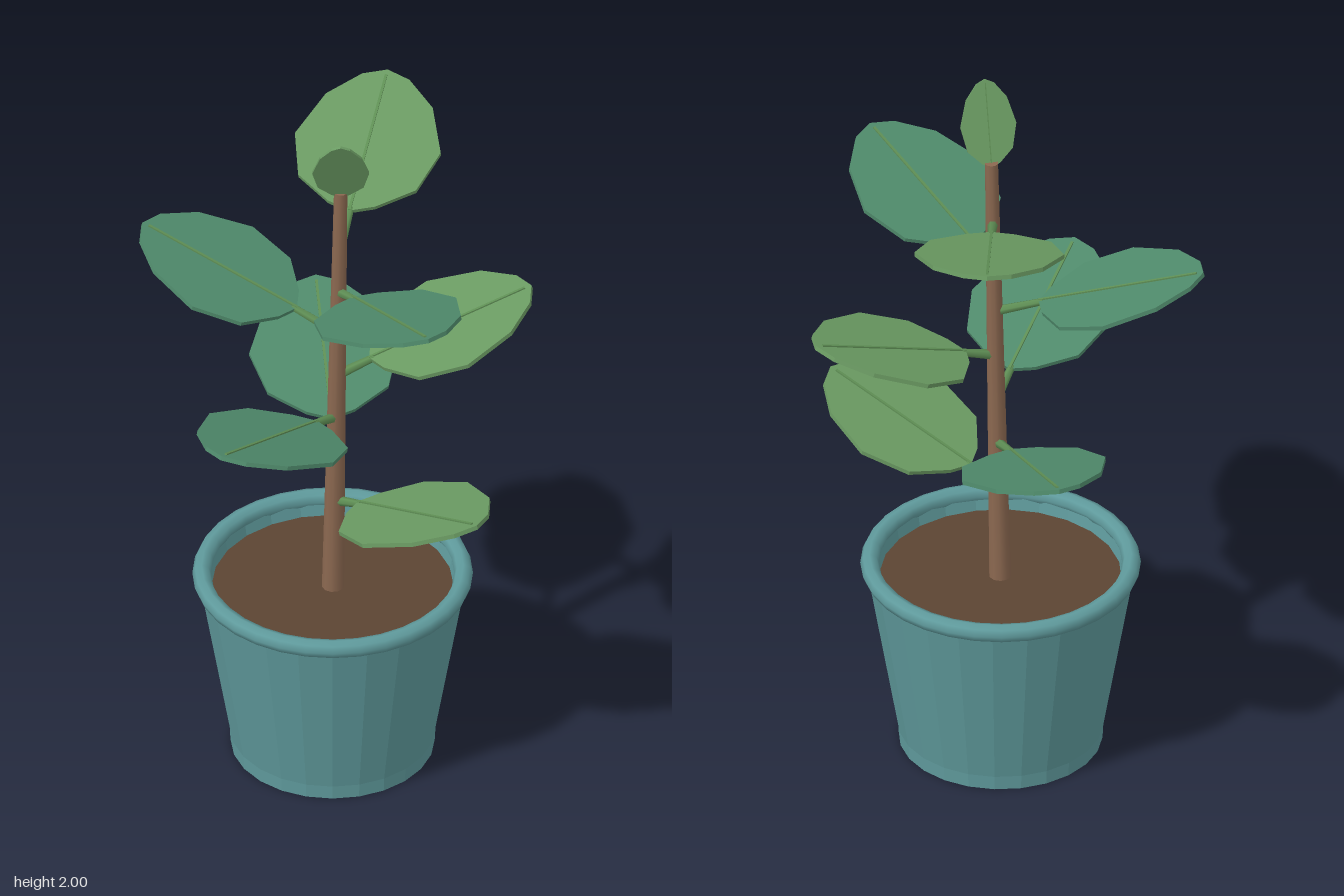
import * as THREE from 'three';

const paint = (name, color) => {
  const m = new THREE.MeshStandardMaterial({ color });
  m.name = name;
  return m;
};

// Faceted shading with one normal per face
const faceted = (geo) => {
  const g = geo.index ? geo.toNonIndexed() : geo;
  g.computeVertexNormals();
  return g;
};

const part = (name, geo, mat) => {
  const mesh = new THREE.Mesh(geo, mat);
  mesh.name = name;
  return mesh;
};

// Tapered rod between two points
function rod(name, a, b, ra, rb, sides, mat) {
  const dir = b.clone().sub(a);
  const mesh = part(name, new THREE.CylinderGeometry(rb, ra, dir.length(), sides), mat);
  mesh.position.copy(a).addScaledVector(dir, 0.5);
  mesh.quaternion.setFromUnitVectors(new THREE.Vector3(0, 1, 0), dir.normalize());
  return mesh;
}

const LEAF_LENGTH = 0.47;
const LEAF_THICK = 0.012;

// Flat twelve-sided blade along +x with its upper side facing +y
function leafBladeGeometry() {
  const half = [[0.05, 0.064], [0.2, 0.16], [0.48, 0.198], [0.78, 0.145], [0.95, 0.064]];
  const outline = [
    [0, 0],
    ...half.map(([t, w]) => [t, -w]),
    [1, 0],
    ...half.slice().reverse(),
  ].map(([t, w]) => new THREE.Vector2(t * LEAF_LENGTH, w));
  const geo = new THREE.ExtrudeGeometry(new THREE.Shape(outline), { depth: LEAF_THICK, bevelEnabled: false });
  geo.translate(0, 0, -LEAF_THICK / 2);
  geo.rotateX(-Math.PI / 2);
  return geo;
}

export function createModel() {
  const potBlue = paint('pot blue', 0x5f9a9c);
  const soilBrown = paint('soil brown', 0x5c4433);
  const barkBrown = paint('bark brown', 0x8b6850);
  const leafLight = paint('light leaf green', 0x6a9a62);
  const leafDeep = paint('deep leaf green', 0x4f8a6b);
  const stalkGreen = paint('stalk green', 0x5f8f55);

  const model = new THREE.Group();
  model.name = 'pottedPlant';

  // Pot: closed base, straight foot, flared wall and inner wall
  const pot = new THREE.Group();
  pot.name = 'pot';
  pot.position.set(-0.02, 0, -0.02);
  model.add(pot);
  const profile = [[0, 0], [0.27, 0], [0.272, 0.04], [0.357, 0.54], [0.33, 0.55], [0.315, 0.46]]
    .map(([r, y]) => new THREE.Vector2(r, y));
  pot.add(part('potWall', faceted(new THREE.LatheGeometry(profile, 24)), potBlue));

  const rim = part('potRim', new THREE.TorusGeometry(0.346, 0.025, 8, 32), potBlue);
  rim.rotation.x = Math.PI / 2;
  rim.position.y = 0.541;
  pot.add(rim);

  const soil = part('soil', new THREE.CylinderGeometry(0.32, 0.31, 0.04, 24), soilBrown);
  soil.position.y = 0.48;
  pot.add(soil);

  // Trunk: slight lean and taper
  const trunkBase = new THREE.Vector3(-0.019, 0.48, -0.02);
  const trunkTop = new THREE.Vector3(0.006, 1.79, -0.024);
  const trunkAt = (y) => trunkBase.clone().lerp(trunkTop, (y - trunkBase.y) / (trunkTop.y - trunkBase.y));
  model.add(rod('trunk', trunkBase, trunkTop, 0.03, 0.018, 10, barkBrown));

  // Leaf: blade with a raised midrib on its upper side
  const bladeGeo = leafBladeGeometry();
  const ribGeo = new THREE.BoxGeometry(LEAF_LENGTH * 0.96, 0.006, 0.007);
  ribGeo.translate(LEAF_LENGTH * 0.48, LEAF_THICK / 2 + 0.001, 0);
  function addLeaf(name, base, azimuth, tilt, mat) {
    const leaf = new THREE.Group();
    leaf.name = name;
    leaf.add(part('leafBlade', bladeGeo, mat), part('leafMidrib', ribGeo, stalkGreen));
    leaf.position.copy(base);
    leaf.rotation.set(0, -azimuth, tilt);
    model.add(leaf);
    return leaf;
  }

  // Seven leaves spiralling up the trunk, each on a short stalk
  const reach = [0.087, 0.118, 0.092, 0.09, 0.12, 0.086, 0.116];
  reach.forEach((r, i) => {
    const azimuth = THREE.MathUtils.degToRad(-140.3 * i);
    const start = trunkAt(0.78 + 0.1365 * i);
    const end = start.clone().add(new THREE.Vector3(Math.cos(azimuth) * r, 0.37 * r, Math.sin(azimuth) * r));
    const tip = end.clone().add(new THREE.Vector3(Math.cos(azimuth), 0.35, Math.sin(azimuth)).multiplyScalar(0.012));
    model.add(rod('leafStalk', start, tip, 0.014, 0.01, 6, stalkGreen));
    addLeaf('leaf', end, azimuth, 0.32, i % 3 === 0 ? leafLight : leafDeep);
  });

  // Small young leaf at the tip
  const young = addLeaf('youngLeaf', trunkTop.clone().setY(1.775), Math.PI / 4, 1.19, leafLight);
  young.scale.set(0.51, 0.6, 0.38);

  return model;
}
